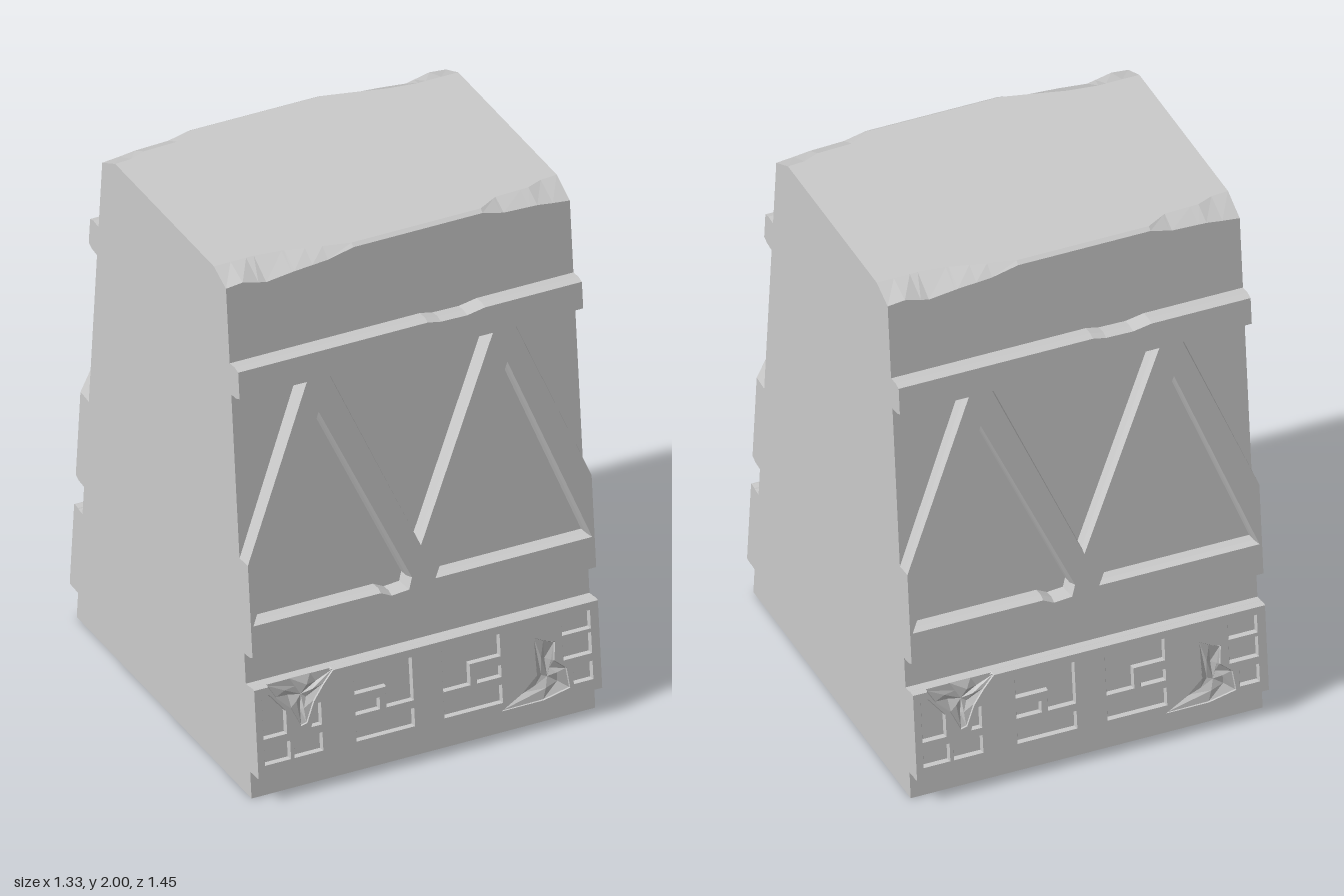
import * as THREE from 'three';

const W = 0.665, SLOPE = 0.1, FACE = 0.065;
const mat = new THREE.MeshStandardMaterial({ color: 0xcccccc, flatShading: true });
const matDouble = new THREE.MeshStandardMaterial({ color: 0xcccccc, flatShading: true, side: THREE.DoubleSide });

function mesh(name, geo, material = mat) {
  const m = new THREE.Mesh(geo, material);
  m.name = name;
  return m;
}

function facets(pos) {
  const g = new THREE.BufferGeometry();
  g.setAttribute('position', new THREE.Float32BufferAttribute(pos, 3));
  g.computeVertexNormals();
  return g;
}

// Worn upper edge along x: [x, height where the wear starts on the face, z where it meets the top]
const wear = [
  [-0.665, 1.96, 0.38], [-0.6, 1.967, 0.38], [-0.51, 1.945, 0.38], [-0.4, 1.958, 0.395], [-0.27, 1.968, 0.43],
  [-0.17, 1.99, 0.455], [0.33, 1.99, 0.455], [0.41, 1.97, 0.41], [0.54, 1.965, 0.405], [0.6, 1.957, 0.38], [0.665, 1.95, 0.375],
];
function wearAt(x) {
  let i = 0;
  while (i < wear.length - 2 && wear[i + 1][0] < x) i++;
  const [a, b] = [wear[i], wear[i + 1]];
  const t = (x - a[0]) / (b[0] - a[0]);
  return [a[1] + t * (b[1] - a[1]), a[2] + t * (b[2] - a[2])];
}

// Tapered block lofted along x
function bodyGeometry() {
  const xs = [...new Set(wear.flatMap(w => [w[0], -w[0]]))].sort((a, b) => a - b);
  const rings = xs.map(x => {
    const [fy, fz] = wearAt(x), [by, bz] = wearAt(-x);
    return [[x, 0, 0.67], [x, fy, 0.67 - SLOPE * fy], [x, 2, fz],
      [x, 2, -bz], [x, by, -0.67 + SLOPE * by], [x, 0, -0.67]];
  });
  const pos = [], tri = (a, b, c) => pos.push(...a, ...b, ...c);
  for (let k = 0; k < rings.length - 1; k++) {
    for (let i = 0; i < 6; i++) {
      const j = (i + 1) % 6, p = rings[k], q = rings[k + 1];
      tri(p[i], q[i], q[j]);
      tri(p[i], q[j], p[j]);
    }
  }
  const first = rings[0], last = rings[rings.length - 1];
  for (let i = 1; i < 5; i++) {
    tri(first[0], first[i], first[i + 1]);
    tri(last[0], last[i + 1], last[i]);
  }
  return facets(pos);
}

// Flat plate with bevelled openings, trimmed flush with the block sides
function plate(outline, holes, back, bevel, bevelDepth) {
  const vec = pts => pts.map(p => new THREE.Vector2(p[0], p[1]));
  const shape = new THREE.Shape(vec(outline));
  holes.forEach(h => shape.holes.push(new THREE.Path(vec(h))));
  const g = new THREE.ExtrudeGeometry(shape, {
    depth: FACE - back - 2 * bevelDepth, bevelEnabled: true, bevelSegments: 1,
    bevelSize: bevel, bevelOffset: -bevel, bevelThickness: bevelDepth,
  });
  g.translate(0, 0, back + bevelDepth);
  const p = g.attributes.position;
  for (let i = 0; i < p.count; i++) p.setX(i, THREE.MathUtils.clamp(p.getX(i), -W, W));
  g.computeVertexNormals();
  return g;
}

const mirror = pts => pts.map(([x, y]) => [-x, y]).reverse();
const rect = (x0, y0, x1, y1) => [[x0, y0], [x1, y0], [x1, y1], [x0, y1]];

// Broken hollow: rim, uneven middle ring and a deep centre
function chipGeometry(rim, cx, cy) {
  const c = [cx, cy, 0.047];
  const outer = rim.map(p => [p[0], p[1], p[2] ?? FACE - 0.004]);
  const ring = outer.map((p, i) => [(p[0] + cx) / 2, (p[1] + cy) / 2, i % 2 ? 0.058 : 0.047]);
  const pos = [];
  outer.forEach((p, i) => {
    const j = (i + 1) % outer.length;
    pos.push(...p, ...outer[j], ...ring[j], ...p, ...ring[j], ...ring[i], ...ring[i], ...ring[j], ...c);
  });
  return facets(pos);
}

function trussPanel() {
  const e = W + 0.01;
  const outline = [[-e, 0.565], [e, 0.565], [e, 0.93], [0.415, 1.56], [e, 1.56], [e, 1.68],
    [0.29, 1.68], [0.22, 1.668], [0.12, 1.67], [0.07, 1.68],
    [-e, 1.68], [-e, 1.56], [-0.415, 1.56], [-e, 0.93]];
  const middle = [[0, 0.845], [0.305, 1.56], [-0.305, 1.56]];
  const right = [[0.06, 0.7], [0.645, 0.7], [0.365, 1.43]];
  const left = [[-0.645, 0.7], [-0.16, 0.7], [-0.12, 0.68], [-0.06, 0.685], [-0.05, 0.72], [-0.365, 1.43]];
  return mesh('trussPanel', plate(outline, [middle, right, left], -0.03, 0.009, 0.025));
}

function meanderBand() {
  const g = new THREE.Group();
  g.name = 'meanderBand';
  const e = W + 0.004, y0 = 0.107, y1 = 0.45;
  const slab = new THREE.BoxGeometry(2 * W, y1 - y0 - 0.004, 0.075);
  slab.translate(0, (y0 + y1) / 2, 0.045 - 0.0375);
  g.add(mesh('bandBacking', slab));

  // Broken areas at the upper and lower corners
  const upperChip = [[-0.36, y1], [-0.4, 0.405], [-0.44, 0.35], [-0.47, 0.275], [-0.49, 0.27],
    [-0.525, 0.345], [-0.58, 0.4], [-0.61, y1]];
  const lowerChip = [[0.28, 0.122], [0.44, 0.124], [0.54, 0.145], [0.53, 0.22], [0.485, 0.26],
    [0.49, 0.33], [0.45, 0.345], [0.415, 0.365], [0.42, 0.22], [0.36, 0.165]];

  // Sunken key pattern
  const inner = [
    [[-0.28, 0.415], [-0.28, 0.335], [-0.16, 0.335], [-0.16, 0.255], [-0.06, 0.255], [-0.06, 0.415]],
    rect(-0.28, 0.255, -0.19, 0.295),
    rect(-0.28, 0.155, -0.06, 0.22),
  ];
  const holes = [
    ...inner, ...inner.map(mirror),
    [[-0.635, 0.415], [-0.635, 0.255], [-0.55, 0.255], [-0.55, 0.34], [-0.61, 0.415]],
    [[-0.45, 0.255], [-0.415, 0.255], [-0.415, 0.335], [-0.43, 0.335]],
    rect(-0.635, 0.155, -0.54, 0.22), rect(-0.52, 0.155, -0.415, 0.22),
    rect(0.525, 0.35, 0.63, 0.415), rect(0.525, 0.255, 0.63, 0.33), rect(0.56, 0.155, 0.63, 0.22),
    lowerChip,
  ];
  const outline = [[-e, y0], [e, y0], [e, y1], ...upperChip, [-e, y1]];
  g.add(mesh('bandFace', plate(outline, holes, 0.03, 0.003, 0.006)));
  g.add(mesh('upperChip', chipGeometry([...upperChip, [-0.52, y1, 0.047], [-0.44, y1, 0.047]], -0.48, 0.38), matDouble));
  g.add(mesh('lowerChip', chipGeometry(lowerChip, 0.465, 0.2), matDouble));
  return g;
}

export function createModel() {
  const model = new THREE.Group();
  model.name = 'taperedStoneBlock';
  model.add(mesh('body', bodyGeometry()));

  // The same relief leans against the front and the back
  for (const side of ['front', 'back']) {
    const relief = new THREE.Group();
    relief.name = side + 'Relief';
    const lean = new THREE.Group();
    lean.name = side + 'LeaningFace';
    lean.position.set(0, -0.0065, 0.67);
    lean.rotation.x = -Math.atan(SLOPE);
    lean.scale.y = 1.005;
    lean.add(trussPanel(), meanderBand());
    relief.add(lean);
    if (side === 'back') relief.rotation.y = Math.PI;
    model.add(relief);
  }
  return model;
}
